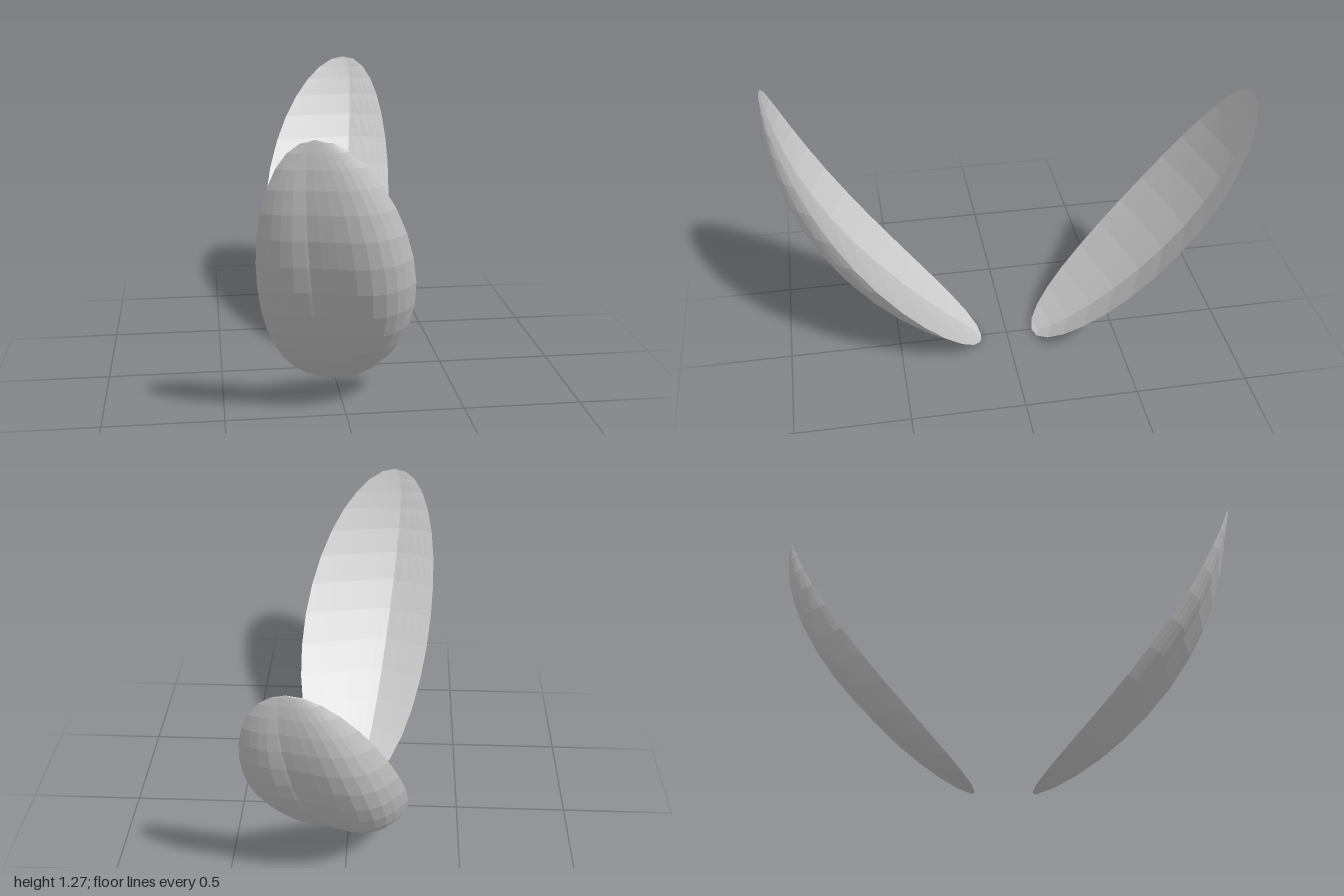
import * as THREE from 'three';

const HEIGHT = 1.27;
const HALF_WIDTH = 0.305;

// Depth across a layer from edge (s = -1) to edge (s = 1), deepest at the crown
function cup(s, { crown, depth, leftPower, rightPower }) {
  return depth * (s < crown
    ? 1 - Math.pow((crown - s) / (1 + crown), leftPower)
    : 1 - Math.pow((s - crown) / (1 - crown), rightPower));
}

// Leaning egg-shaped sheet, its rim curving upwards and its middle bulging outwards
function layerGeometry(section) {
  const geometry = new THREE.PlaneGeometry(2, 2, 16, 16);
  const pos = geometry.attributes.position;
  for (let i = 0; i < pos.count; i++) {
    const s = Math.sin(pos.getX(i) * Math.PI / 2);
    const p = (1 + Math.sin(pos.getY(i) * Math.PI / 2)) / 2;
    const y = p * HEIGHT;
    const halfWidth = HALF_WIDTH * 2 * Math.sqrt(Math.max(0, p * (1 - p))) * (1.08 - 0.15 * p);
    const middle = -0.05 * y - 0.068 * y * y;
    const rim = 0.12 + 1.077 * y - 0.303 * y * y;
    const bulge = 0.43 * Math.pow(Math.max(0, p), 0.6) * (1 - p);
    pos.setXYZ(i, middle + s * halfWidth, y, rim + bulge * cup(s, section));
  }
  geometry.computeVertexNormals();
  return geometry;
}

export function createModel() {
  const model = new THREE.Group();
  model.name = 'petalPair';
  const material = new THREE.MeshStandardMaterial({
    color: 0xcccccc, flatShading: true, side: THREE.DoubleSide,
  });

  // Each petal has two layers sharing a rim, which cross along a lengthwise crease
  const layers = {
    outerLayer: layerGeometry({ crown: 0.3, depth: 1, leftPower: 1.25, rightPower: 2.6 }),
    innerLayer: layerGeometry({ crown: -0.45, depth: 0.6, leftPower: 2, rightPower: 1.3 }),
  };

  // Two petals, half a turn apart
  ['frontPetal', 'backPetal'].forEach((name, i) => {
    const petal = new THREE.Group();
    petal.name = name;
    petal.rotation.y = i * Math.PI;
    for (const [layerName, geometry] of Object.entries(layers)) {
      const layer = new THREE.Mesh(geometry, material);
      layer.name = layerName;
      petal.add(layer);
    }
    model.add(petal);
  });
  return model;
}
